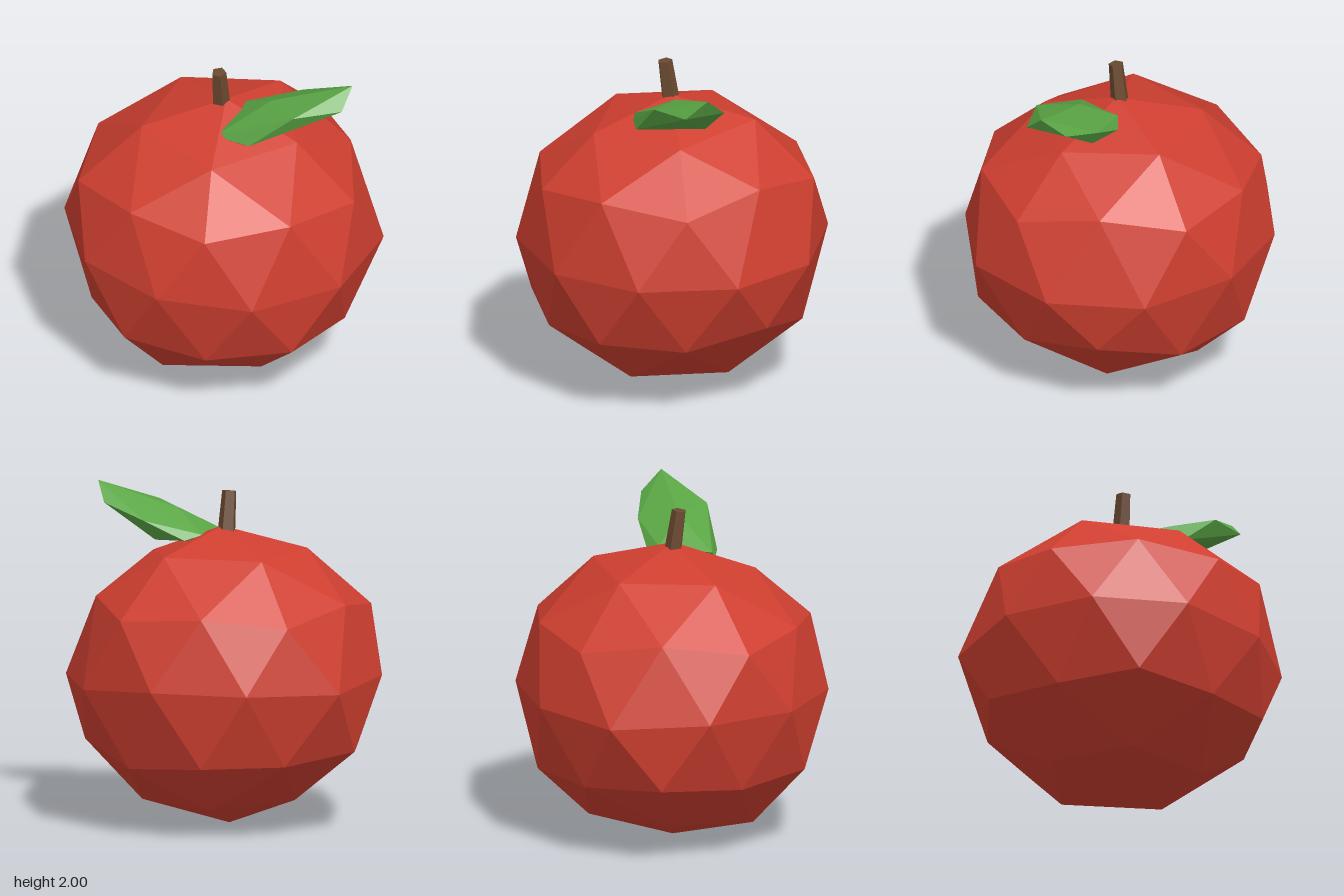
import * as THREE from 'three';
import { ConvexGeometry } from 'three/addons/geometries/ConvexGeometry.js';

const V = (x, y, z) => new THREE.Vector3(x, y, z);

// Ring of evenly spaced corners, each with its own radius and height.
function ring(startDeg, radii, heights) {
  return radii.map((r, i) => {
    const a = ((startDeg + (360 / radii.length) * i) * Math.PI) / 180;
    return V(r * Math.cos(a), heights[i], r * Math.sin(a));
  });
}

// Faceted fruit: two five-sided caps and two zigzag bands of triangles.
function fruitGeometry() {
  const top = V(0.03, 1.77, 0);
  const crown = ring(0, [0.49, 0.5, 0.48, 0.486, 0.506], [1.59, 1.59, 1.63, 1.63, 1.64]);
  const shoulder = ring(0,
    [0.86, 0.83, 0.835, 0.79, 0.86, 0.8, 0.84, 0.81, 0.86, 0.775],
    [1.27, 1.34, 1.29, 1.34, 1.29, 1.36, 1.28, 1.34, 1.3, 1.37]);
  const belly = ring(18,
    [0.956, 0.927, 0.92, 0.921, 0.933, 0.968, 0.92, 0.93, 0.934, 0.962],
    [0.86, 0.86, 0.9, 0.91, 0.91, 0.88, 0.9, 0.91, 0.86, 0.86]);
  const hip = ring(0,
    [0.8, 0.85, 0.79, 0.84, 0.78, 0.86, 0.8, 0.82, 0.79, 0.84],
    [0.43, 0.46, 0.43, 0.48, 0.45, 0.49, 0.45, 0.45, 0.41, 0.52]);
  const base = ring(36, [0.48, 0.51, 0.46, 0.51, 0.5], [0.14, 0.12, 0.17, 0.15, 0.15]);
  const bottom = V(-0.02, 0, 0);

  const points = [];
  const tri = (a, b, c, flip) => points.push(a, ...(flip ? [c, b] : [b, c]));

  // Cap from a pole through five corners to ten
  function cap(pole, five, ten, offset, flip) {
    for (let k = 0; k < 5; k++) {
      const a = five[k], b = five[(k + 1) % 5];
      const [p, q, r] = [0, 1, 2].map((j) => ten[(2 * k + offset + j) % 10]);
      tri(pole, b, a, flip);
      tri(a, b, q, flip);
      tri(a, q, p, flip);
      tri(b, r, q, flip);
    }
  }
  // Zigzag between the belly and a ring turned by half a step
  function band(outer, flip) {
    for (let i = 0; i < 10; i++) {
      const j = (i + 1) % 10;
      tri(outer[i], outer[j], belly[i], flip);
      tri(outer[j], belly[j], belly[i], flip);
    }
  }
  cap(top, crown, shoulder, 0, false);
  band(shoulder, false);
  band(hip, true);
  cap(bottom, base, hip, 1, true);

  const geometry = new THREE.BufferGeometry().setFromPoints(points);
  geometry.computeVertexNormals();
  return geometry;
}

// Five-sided stem, tapering and leaning to the front
function stemGeometry() {
  const bottomY = 1.7, topY = 1.975;
  const geometry = new THREE.CylinderGeometry(0.044, 0.056, topY - bottomY, 5);
  geometry.rotateY(Math.PI);
  geometry.translate(0, (topY + bottomY) / 2, 0);
  const p = geometry.attributes.position;
  for (let i = 0; i < p.count; i++) {
    const t = (p.getY(i) - bottomY) / (topY - bottomY);
    if (t > 0.5) p.setY(i, p.getY(i) - p.getZ(i) * 0.12);
    p.setZ(i, p.getZ(i) + 0.038 * t);
  }
  geometry.computeVertexNormals();
  return geometry;
}

// Thick faceted leaf, rising to the side
function leafGeometry() {
  return new ConvexGeometry([
    V(0.1, 1.69, 0.225), V(0.14, 1.66, 0.24), V(0.22, 1.64, 0.22), V(0.29, 1.655, 0.24), // near edge
    V(0.54, 1.87, 0.16), V(0.78, 1.89, 0), V(0.79, 2, -0.13), V(0.69, 1.89, -0.24), // tip
    V(0.42, 1.8, -0.24), V(0.19, 1.69, -0.17), V(0.11, 1.72, -0.09), // far edge
    V(0.33, 1.85, 0.01), V(0.39, 1.68, -0.16), // ridge and keel
  ]);
}

export function createModel() {
  const material = (name, color) => {
    const m = new THREE.MeshStandardMaterial({ color, flatShading: true });
    m.name = name;
    return m;
  };
  const model = new THREE.Group();
  model.name = 'fruit';
  const add = (name, geometry, mat) => {
    const mesh = new THREE.Mesh(geometry, mat);
    mesh.name = name;
    model.add(mesh);
  };
  add('body', fruitGeometry(), material('red skin', 0xcf3f30));
  add('stem', stemGeometry(), material('brown wood', 0x6b4a30));
  add('leaf', leafGeometry(), material('green leaf', 0x5aa545));
  return model;
}
